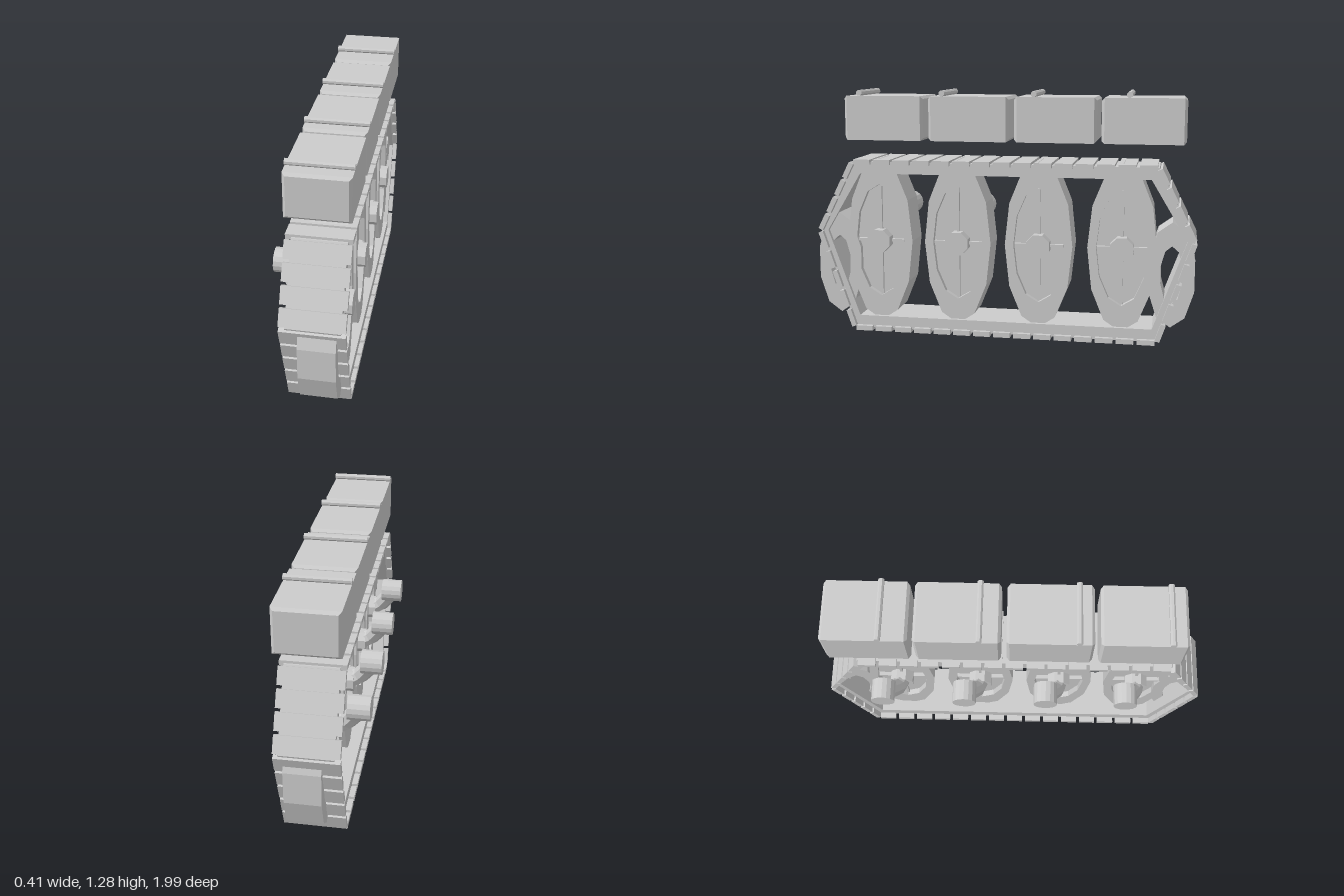
import * as THREE from 'three';

const mat = new THREE.MeshStandardMaterial({ color: 0xcccccc, flatShading: true });

// Closed loop of (z, y) corners for an elongated polygon, first corner at the bottom
function oval(rz, ry, sides) {
  const pts = [];
  for (let i = 0; i < sides; i++) {
    const a = (i / sides) * Math.PI * 2 - Math.PI / 2;
    pts.push(new THREE.Vector2(rz * Math.cos(a), ry * Math.sin(a)));
  }
  return pts;
}

// Extrudes a (z, y) outline across the width from x0 to x1
function slab(outline, x0, x1, hole) {
  const shape = new THREE.Shape(outline);
  if (hole) shape.holes.push(new THREE.Path(hole));
  const g = new THREE.ExtrudeGeometry(shape, { depth: x1 - x0, bevelEnabled: false });
  g.rotateY(-Math.PI / 2);
  g.translate(x1, 0, 0);
  return g;
}

function add(parent, name, geometry, x = 0, y = 0, z = 0) {
  const m = new THREE.Mesh(geometry, mat);
  m.name = name;
  m.position.set(x, y, z);
  parent.add(m);
  return m;
}

// Box with chamfered edges
function chamferBox(w, h, d, b) {
  const x = w / 2 - b, y = h / 2 - b;
  const shape = new THREE.Shape([[-x, -y], [x, -y], [x, y], [-x, y]].map(p => new THREE.Vector2(...p)));
  const g = new THREE.ExtrudeGeometry(shape, {
    depth: d - 2 * b, bevelThickness: b, bevelSize: b, bevelSegments: 1,
  });
  g.translate(0, 0, -(d - 2 * b) / 2);
  return g;
}

function createWheel() {
  const wheel = new THREE.Group();
  wheel.name = 'roadWheel';
  const inner = oval(0.131, 0.3, 12);
  add(wheel, 'wheelRim', slab(oval(0.176, 0.435, 12), -0.02, 0.16, inner));
  add(wheel, 'wheelDisc', slab(inner, 0.01, 0.13));
  add(wheel, 'verticalSpoke', new THREE.BoxGeometry(0.15, 0.59, 0.014), 0.07);
  add(wheel, 'horizontalSpoke', new THREE.BoxGeometry(0.16, 0.014, 0.255), 0.07);
  const hub = new THREE.CylinderGeometry(0.064, 0.064, 0.24, 8);
  hub.rotateY(Math.PI / 8);
  hub.rotateZ(Math.PI / 2);
  add(wheel, 'hub', hub, 0.07);

  // Suspension arm rising up and back to the mounting pin
  const arm = new THREE.CatmullRomCurve3([
    new THREE.Vector3(-0.03, 0.0, 0),
    new THREE.Vector3(-0.085, 0.04, -0.015),
    new THREE.Vector3(-0.15, 0.145, -0.072),
  ]);
  add(wheel, 'suspensionArm', new THREE.TubeGeometry(arm, 3, 0.045, 8));
  const pin = new THREE.CylinderGeometry(0.062, 0.062, 0.11, 16);
  pin.rotateZ(Math.PI / 2);
  add(wheel, 'mountingPin', pin, -0.152, 0.155, -0.075);
  return wheel;
}

function createTrack() {
  const track = new THREE.Group();
  track.name = 'track';
  const v = (z, y) => new THREE.Vector2(z, y);
  const outer = [v(-0.8, 0.015), v(0.8, 0.015), v(0.98, 0.54), v(0.795, 0.91), v(-0.795, 0.91), v(-0.98, 0.54)];
  const inner = [v(-0.775, 0.08), v(0.775, 0.08), v(0.942, 0.54), v(0.757, 0.848), v(-0.757, 0.848), v(-0.942, 0.54)];
  add(track, 'trackBand', slab(outer, -0.08, 0.18, inner));

  // Tread plates spread evenly along each straight run
  const counts = [15, 5, 4, 15, 4, 5];
  counts.forEach((n, i) => {
    const a = outer[i], b = outer[(i + 1) % 6];
    const dir = b.clone().sub(a);
    const pitch = dir.length() / n;
    const angle = Math.atan2(dir.y, dir.x);
    for (let k = 0; k < n; k++) {
      const p = a.clone().addScaledVector(dir, (k + 0.5) / n);
      const plate = add(track, 'treadPlate', new THREE.BoxGeometry(0.312, 0.026, pitch * 0.84), 0.047, p.y, p.x);
      plate.rotation.x = -angle;
    }
  });
  return track;
}

export function createModel() {
  const model = new THREE.Group();
  model.name = 'trackAssembly';
  model.add(createTrack());

  // Road wheels with their suspension
  for (const z of [0.66, 0.24, -0.187, -0.615]) {
    const wheel = createWheel();
    wheel.position.set(0, 0.49, z);
    model.add(wheel);
  }

  // Open end wheels at front and back
  const ring = slab(oval(0.122, 0.272, 10), -0.02, 0.16, oval(0.057, 0.15, 10));
  add(model, 'frontIdler', ring, 0, 0.362, 0.885);
  add(model, 'rearIdler', ring, 0, 0.362, -0.866);

  // Row of storage boxes with a rail across each lid
  const box = chamferBox(0.31, 0.228, 0.418, 0.014);
  const rail = new THREE.CylinderGeometry(0.0155, 0.0155, 0.314, 8);
  rail.rotateY(Math.PI / 8);
  rail.rotateZ(Math.PI / 2);
  const railZ = [0.745, 0.308, -0.166, -0.641];
  [0.618, 0.172, -0.273, -0.714].forEach((z, i) => {
    add(model, 'storageBox', box, 0.047, 1.139, z);
    add(model, 'lidRail', rail, 0.047, 1.268, railZ[i]);
  });
  return model;
}
